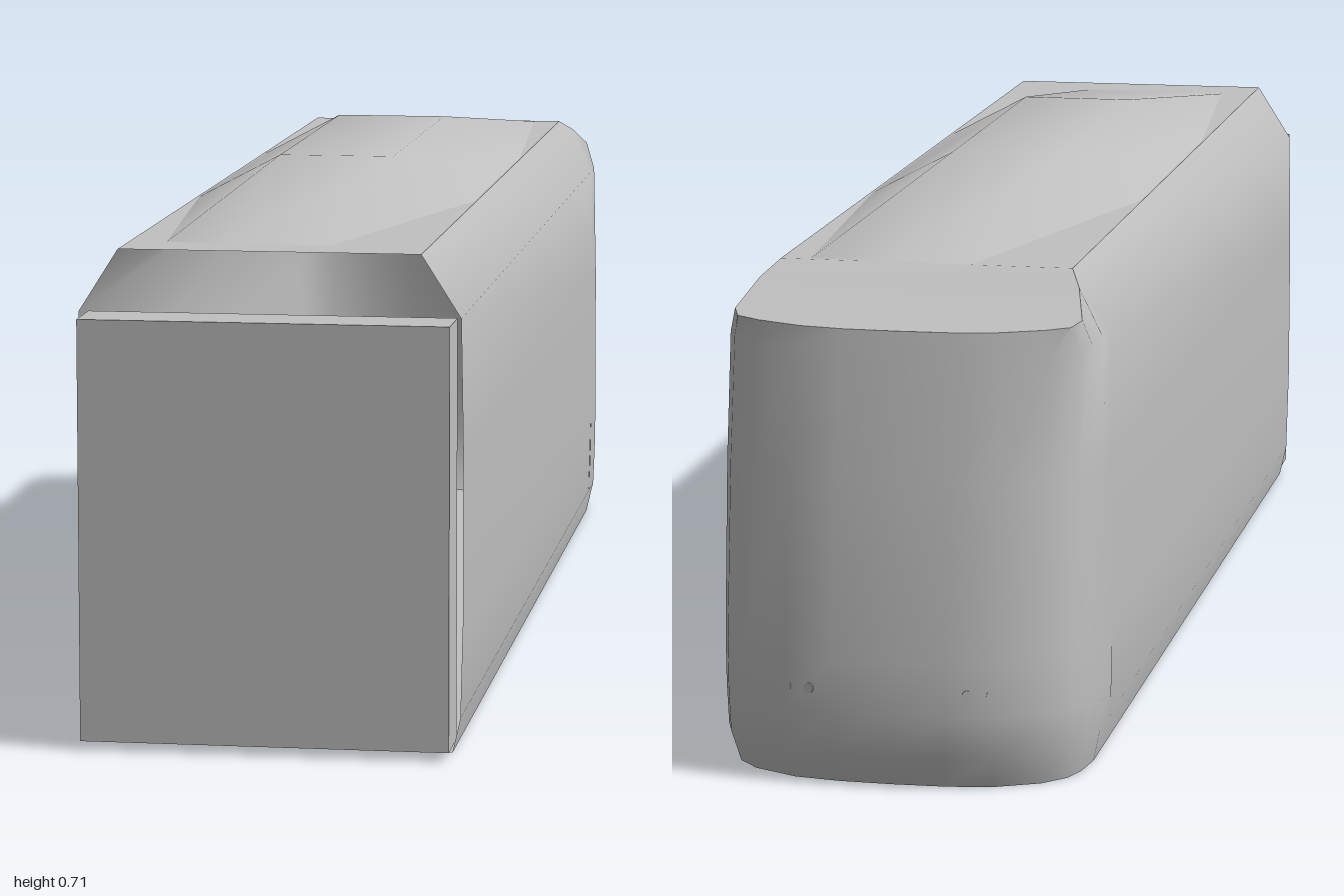
import * as THREE from 'three';
import { toCreasedNormals } from 'three/addons/utils/BufferGeometryUtils.js';

// Skin a row of equal-length cross-sections
function loft(rings, crease = 0.65) {
  const pos = [], index = [], n = rings[0].length;
  rings.forEach((ring) => ring.forEach((p) => pos.push(...p)));
  for (let i = 0; i < rings.length - 1; i++) {
    for (let j = 0; j < n - 1; j++) {
      const a = i * n + j, b = a + n;
      index.push(a, b, a + 1, a + 1, b, b + 1);
    }
  }
  const geo = new THREE.BufferGeometry();
  geo.setAttribute('position', new THREE.Float32BufferAttribute(pos, 3));
  geo.setIndex(index);
  return toCreasedNormals(geo, crease);
}

// Complete a +x half outline (outer end to centre line) into a whole one from -x to +x
const mirror = (half) => [
  ...half.map(([x, y, z]) => [-x, y, z]),
  ...half.slice(0, -1).reverse(),
];

export function createModel() {
  const model = new THREE.Group();
  const grey = new THREE.MeshStandardMaterial({ color: 0xc0c0c0, side: THREE.DoubleSide });
  grey.name = 'body grey';
  const add = (name, geo) => {
    const mesh = new THREE.Mesh(geo, grey);
    mesh.name = name;
    model.add(mesh);
    return mesh;
  };

  const front = 0.945, joint = -0.745, roofY = 0.652;

  // Long open-ended body shell with bevelled shoulders
  const side = [[0.24, 0], [0.25, 0.045], [0.253, 0.17], [0.253, 0.4], [0.25, 0.57], [0.198, roofY]];
  const section = [...side, ...side.map(([x, y]) => [-x, y]).reverse(), side[0]];
  add('bodyShell', loft([front, joint].map((z) => section.map(([x, y]) => [x, y, z]))));

  // Shallow raised roof tapering into the shell at both ends
  const hump = [
    [0.87, 0.15, 0.07, roofY],
    [0.36, 0.197, 0.08, 0.713],
    [-0.2, 0.197, 0.08, 0.713],
    [joint, 0.16, 0.06, roofY],
  ];
  add('raisedRoof', loft(hump.map(([z, base, top, y]) => [
    [base, roofY - 0.001, z], [top, y, z], [-top, y, z], [-base, roofY - 0.001, z],
  ])));

  // Gangway block at the open end
  const block = add('gangway', new THREE.BoxGeometry(0.484, 0.555, 0.08));
  block.position.set(0, 0.2895, 0.96);

  // Rounded cab: one plan outline scaled at each height
  const plan = [[1, 0], [1, 0.3], [0.97, 0.53], [0.92, 0.68], [0.8, 0.82], [0.55, 0.95], [0.3, 0.99], [0, 1]];
  const level = (y, w, nose) => mirror(plan.map(([u, t]) => [u * w, y, joint + (nose - joint) * t]));
  const brow = mirror([
    [0.198, roofY, joint], [0.215, 0.635, -0.79], [0.232, 0.605, -0.86], [0.222, 0.6, -0.885],
    [0.19, 0.598, -0.9], [0.13, 0.596, -0.918], [0.07, 0.595, -0.924], [0, 0.595, -0.926],
  ]);
  const levels = [
    level(0, 0.24, -0.973), level(0.045, 0.25, -0.996), level(0.1, 0.252, -1),
    level(0.17, 0.253, -0.998), level(0.4, 0.253, -0.96), level(0.57, 0.25, -0.931), brow,
  ];
  add('cabNose', loft(levels));

  // Caps join mirrored points of an outline
  const cap = (ring, up) => loft(plan.map((_, j) => {
    const pair = [ring[ring.length - 1 - j], ring[j]];
    return up ? pair : pair.reverse();
  }));
  add('cabRoof', cap(brow, true));
  add('cabFloor', cap(levels[0], false));

  // Small round lamps low on each side of the nose
  for (const s of [-1, 1]) {
    for (const [x, z, turn] of [[0.105, -0.989, 0.2], [0.135, -0.982, 0.4], [0.165, -0.968, 0.5]]) {
      const lamp = add('lamp', new THREE.CylinderGeometry(0.007, 0.007, 0.008, 12));
      lamp.rotation.set(Math.PI / 2, 0, s * turn);
      lamp.position.set(s * x, 0.13, z);
    }
  }
  return model;
}
